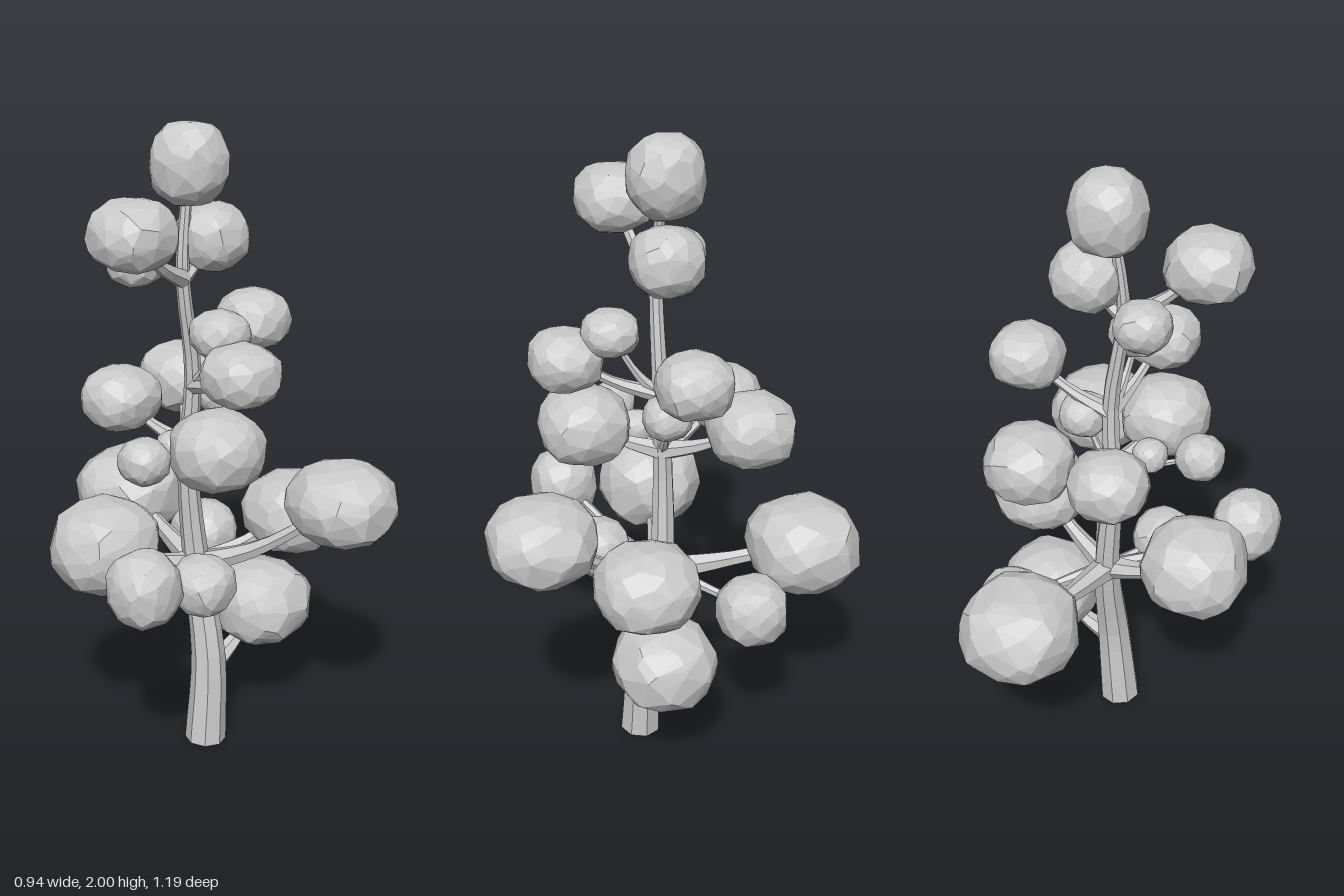
import * as THREE from 'three';
import { ConvexGeometry } from 'three/addons/geometries/ConvexGeometry.js';

const material = new THREE.MeshStandardMaterial({ color: 0xcccccc, flatShading: true });

function seeded(seed) {
  let s = seed * 7919 + 17;
  return () => (s = (s * 16807) % 2147483647) / 2147483647;
}

// Tapered limb: a tube along a curve whose radius runs evenly through a list
function limb(name, curve, radii, sides, steps) {
  const geo = new THREE.TubeGeometry(curve, steps, 1, sides);
  const pos = geo.attributes.position;
  const v = new THREE.Vector3();
  for (let n = 0; n < pos.count; n++) {
    const t = Math.floor(n / (sides + 1)) / steps;
    const centre = curve.getPointAt(t);
    const f = t * (radii.length - 1);
    const k = Math.min(Math.floor(f), radii.length - 2);
    const r = THREE.MathUtils.lerp(radii[k], radii[k + 1], f - k);
    v.fromBufferAttribute(pos, n).sub(centre).multiplyScalar(r).add(centre);
    pos.setXYZ(n, v.x, v.y, v.z);
  }
  geo.computeVertexNormals();
  const mesh = new THREE.Mesh(geo, material);
  mesh.name = name;
  return mesh;
}

// Faceted leaf clump: convex hull of jittered points on a slightly boxy ellipsoid
function clump(name, centre, width, height, seed) {
  const rand = seeded(seed);
  const count = 100;
  const power = 2.4;
  const points = [];
  for (let i = 0; i < count; i++) {
    const y = 1 - (2 * (i + 0.5)) / count;
    const a = i * 2.39996 + (rand() - 0.5) * 0.5;
    const r = Math.sqrt(1 - y * y);
    const p = new THREE.Vector3(r * Math.cos(a), y, r * Math.sin(a));
    const norm = p.toArray().reduce((sum, n) => sum + Math.abs(n) ** power, 0) ** (1 / power);
    p.multiplyScalar((0.95 + rand() * 0.06) / norm);
    points.push(p.multiply(new THREE.Vector3(width, height, width)));
  }
  const mesh = new THREE.Mesh(new ConvexGeometry(points), material);
  mesh.position.copy(centre);
  mesh.name = name;
  return mesh;
}

// Tiers of branches leaving the trunk at one height.
// Each clump: x, y, z, horizontal radius, vertical radius
const tiers = [
  { name: 'lowest', start: 0.25, clumps: [[0.25, 0.42, 0.08, 0.16, 0.135]] },
  { name: 'lower', start: 0.61, clumps: [
    [0.13, 0.68, -0.42, 0.18, 0.145], [0.26, 0.56, -0.2, 0.11, 0.11],
    [-0.29, 0.76, -0.05, 0.163, 0.145], [-0.37, 0.75, 0.215, 0.108, 0.115],
    [-0.105, 0.65, 0.18, 0.098, 0.092], [0.215, 0.91, 0.44, 0.162, 0.125],
    [0.31, 0.75, 0.155, 0.157, 0.125]] },
  { name: 'middle', start: 1.01, clumps: [
    [0.175, 1.14, -0.215, 0.133, 0.11], [-0.075, 1.13, -0.22, 0.12, 0.1],
    [-0.09, 1.1, 0.22, 0.138, 0.12], [-0.25, 1.07, 0.085, 0.075, 0.068],
    [-0.1, 1.06, 0.05, 0.055, 0.05], [0.1, 1.18, 0.02, 0.075, 0.065]] },
  { name: 'upper', start: 1.21, clumps: [
    [0.27, 1.36, 0, 0.114, 0.095], [-0.055, 1.34, 0.28, 0.113, 0.092],
    [-0.02, 1.42, 0.155, 0.087, 0.07]] },
  { name: 'crown', start: 1.55, clumps: [
    [-0.26, 1.74, 0.06, 0.125, 0.1], [-0.125, 1.6, -0.09, 0.083, 0.07],
    [0.08, 1.66, 0.015, 0.108, 0.1]] },
];

export function createModel() {
  const tree = new THREE.Group();
  tree.name = 'tree';

  // Trunk, swaying gently up into the topmost clump
  const trunkCurve = new THREE.CatmullRomCurve3([
    [0.005, 0.003, 0.08], [0.025, 0.3, 0.07], [0.025, 0.6, 0.015], [0, 0.95, 0],
    [0.01, 1.25, 0.012], [-0.03, 1.57, 0.01], [0, 1.85, 0],
  ].map((p) => new THREE.Vector3(...p)));
  tree.add(limb('trunk', trunkCurve, [0.066, 0.054, 0.042, 0.032, 0.026, 0.021, 0.015], 8, 24));
  tree.add(clump('topClump', new THREE.Vector3(0.01, 1.88, -0.005), 0.113, 0.123, 40));

  // Flat cut under the trunk
  const base = new THREE.Mesh(new THREE.CircleGeometry(0.064, 8), material);
  base.name = 'trunkBase';
  base.rotation.x = Math.PI / 2;
  base.position.set(0.005, 0.003, 0.08);
  tree.add(base);

  // Branches curve out of the trunk, then rise into the clumps they carry
  const trunkPoints = trunkCurve.getSpacedPoints(200);
  tiers.forEach((tier, t) => {
    const start = trunkPoints.find((p) => p.y >= tier.start);
    const group = new THREE.Group();
    group.name = `${tier.name}Branches`;
    tier.clumps.forEach(([x, y, z, width, height], i) => {
      const end = new THREE.Vector3(x, y, z);
      const bend = start.clone().lerp(end, 0.45);
      bend.y -= 0.12 * (y - start.y);
      const curve = new THREE.CatmullRomCurve3([start, bend, end]);
      const radii = [0.24, 0.14, 0.11].map((k) => k * width);
      group.add(limb(`branch${i + 1}`, curve, radii, 6, 8));
      group.add(clump(`leafClump${i + 1}`, end, width, height, t * 8 + i + 1));
    });
    tree.add(group);
  });

  return tree;
}
